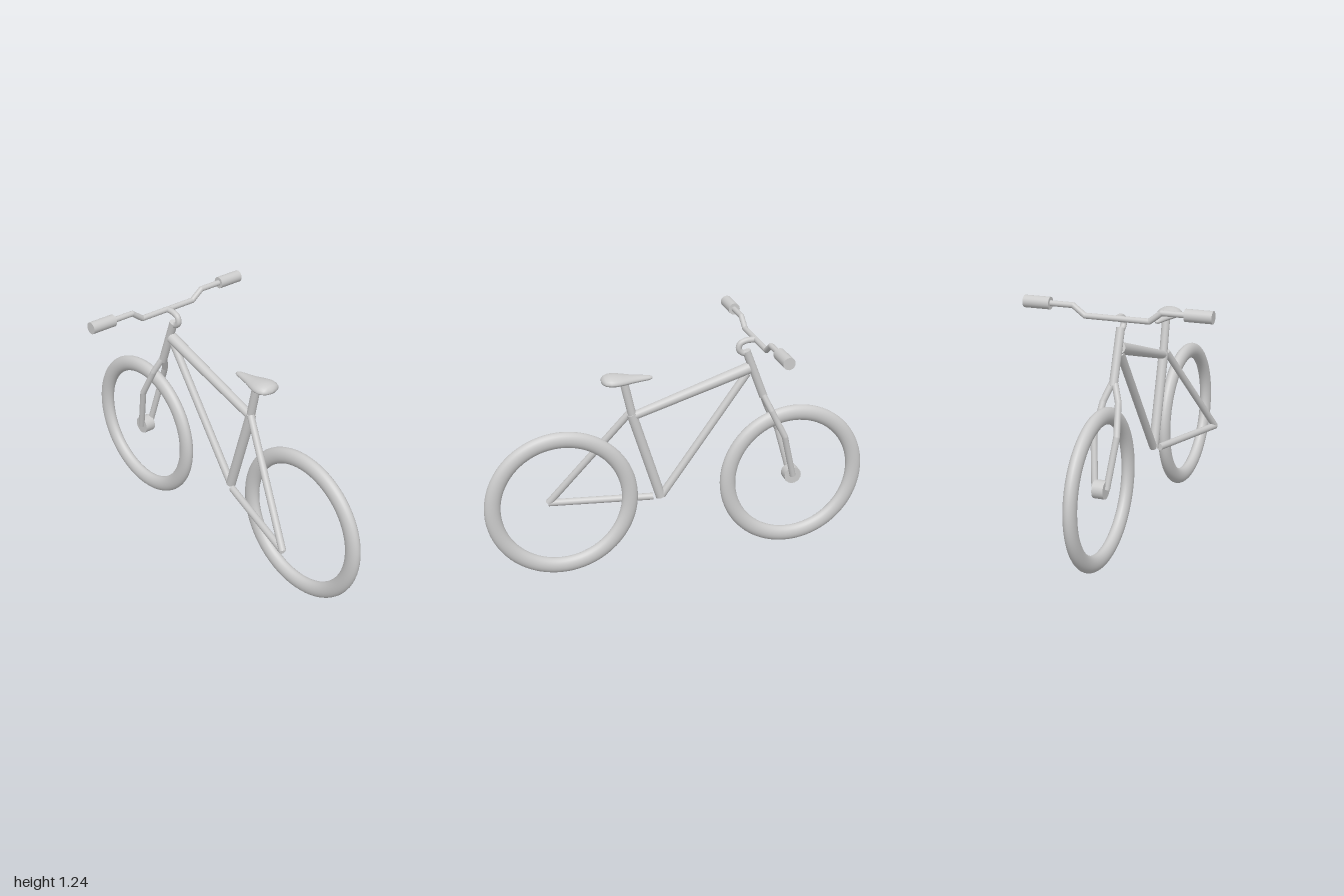
import * as THREE from 'three';

const material = new THREE.MeshStandardMaterial({ color: 0xcccccc });
const V = (x, y, z) => new THREE.Vector3(x, y, z);

function add(parent, name, geometry) {
  const mesh = new THREE.Mesh(geometry, material);
  mesh.name = name;
  parent.add(mesh);
  return mesh;
}

// Straight tube between two points, with optional different end radii
function rod(parent, name, a, b, ra, rb = ra) {
  const dir = b.clone().sub(a);
  const mesh = add(parent, name, new THREE.CylinderGeometry(rb, ra, dir.length(), 20));
  mesh.position.copy(a).add(b).multiplyScalar(0.5);
  mesh.quaternion.setFromUnitVectors(V(0, 1, 0), dir.normalize());
  return mesh;
}

// Bent tube: straight runs with a ball filling each bend
function bentRod(parent, name, points, r) {
  const group = new THREE.Group();
  group.name = name;
  for (let i = 1; i < points.length; i++) {
    rod(group, name + 'Segment', points[i - 1], points[i], r);
    if (i < points.length - 1) {
      add(group, name + 'Bend', new THREE.SphereGeometry(r, 16, 12)).position.copy(points[i]);
    }
  }
  parent.add(group);
}

// Saddle lofted from sections: [z, half width, rim y, top y, bottom y]
function saddleGeometry() {
  const sections = [
    [0.393, 0.004, 1.02, 1.024, 1.016], [0.389, 0.03, 1.02, 1.036, 1.009],
    [0.378, 0.051, 1.02, 1.046, 1.004], [0.355, 0.063, 1.02, 1.053, 1.0],
    [0.325, 0.064, 1.02, 1.053, 0.998], [0.285, 0.053, 1.019, 1.046, 0.999],
    [0.24, 0.036, 1.018, 1.039, 1.001], [0.19, 0.023, 1.017, 1.034, 1.004],
    [0.155, 0.016, 1.017, 1.03, 1.006], [0.141, 0.01, 1.017, 1.025, 1.01],
    [0.137, 0.002, 1.017, 1.018, 1.016],
  ];
  const n = 28, positions = [], index = [];
  sections.forEach(([z, w, rim, top, bottom], i) => {
    for (let j = 0; j < n; j++) {
      const a = (j / n) * Math.PI * 2, s = Math.sin(a);
      positions.push(w * Math.cos(a), rim + s * (s > 0 ? top - rim : rim - bottom), z);
      if (i === 0) continue;
      const k = (j + 1) % n, p = (i - 1) * n, q = i * n;
      index.push(p + j, q + j, p + k, p + k, q + j, q + k);
    }
  });
  // Close the tail and the nose
  const last = (sections.length - 1) * n;
  for (let j = 1; j < n - 1; j++) index.push(0, j, j + 1, last, last + j + 1, last + j);
  const g = new THREE.BufferGeometry();
  g.setAttribute('position', new THREE.Float32BufferAttribute(positions, 3));
  g.setIndex(index);
  g.computeVertexNormals();
  return g;
}

export function createModel() {
  const bike = new THREE.Group();
  bike.name = 'bicycle';

  // Wheels: open rings with an oval section
  for (const [name, z] of [['rearWheel', 0.61], ['frontWheel', -0.607]]) {
    const g = new THREE.TorusGeometry(0.349, 0.041, 24, 72);
    g.scale(1, 1, 0.75).rotateY(Math.PI / 2);
    add(bike, name, g).position.set(0, 0.39, z);
  }

  // Frame
  const frame = new THREE.Group();
  frame.name = 'frame';
  bike.add(frame);
  rod(frame, 'seatTube', V(0, 0.36, 0.1), V(0, 0.835, 0.245), 0.025);
  rod(frame, 'topTube', V(0, 0.825, 0.23), V(0, 1.012, -0.36), 0.022, 0.03);
  rod(frame, 'downTube', V(0, 0.365, 0.095), V(0, 0.985, -0.35), 0.02);
  rod(frame, 'headTube', V(0, 1.105, -0.343), V(0, 0.85, -0.44), 0.021);

  // Single-sided rear stays
  const dropout = V(-0.155, 0.322, 0.652);
  rod(frame, 'seatStay', dropout, V(-0.012, 0.835, 0.255), 0.018);
  rod(frame, 'chainStay', dropout, V(-0.02, 0.354, 0.135), 0.018);

  // Fork blades and hub
  for (const s of [-1, 1]) {
    bentRod(bike, s > 0 ? 'leftForkBlade' : 'rightForkBlade', [
      V(s * 0.008, 0.86, -0.437), V(s * 0.038, 0.78, -0.473),
      V(s * 0.057, 0.635, -0.543), V(s * 0.03, 0.395, -0.605),
    ], 0.016);
  }
  rod(bike, 'frontHub', V(-0.028, 0.393, -0.607), V(0.028, 0.393, -0.607), 0.045);

  // Saddle and post
  rod(bike, 'seatPost', V(0, 0.82, 0.24), V(0, 1.015, 0.283), 0.021);
  add(bike, 'saddle', saddleGeometry());

  // Hooked stem
  const hook = new THREE.CatmullRomCurve3([
    V(0, 1.09, -0.342), V(0, 1.098, -0.32), V(0, 1.118, -0.304),
    V(0, 1.143, -0.31), V(0, 1.157, -0.337), V(0, 1.16, -0.39),
  ]);
  add(bike, 'stem', new THREE.TubeGeometry(hook, 32, 0.015, 16));

  // Handlebar with grips
  bentRod(bike, 'handlebar', [
    V(-0.34, 1.205, -0.39), V(-0.22, 1.205, -0.39), V(-0.16, 1.16, -0.39),
    V(0.16, 1.16, -0.39), V(0.22, 1.205, -0.39), V(0.34, 1.205, -0.39),
  ], 0.014);
  for (const s of [-1, 1]) {
    rod(bike, s > 0 ? 'leftGrip' : 'rightGrip',
      V(s * 0.335, 1.205, -0.39), V(s * 0.468, 1.205, -0.39), 0.03);
  }
  return bike;
}
